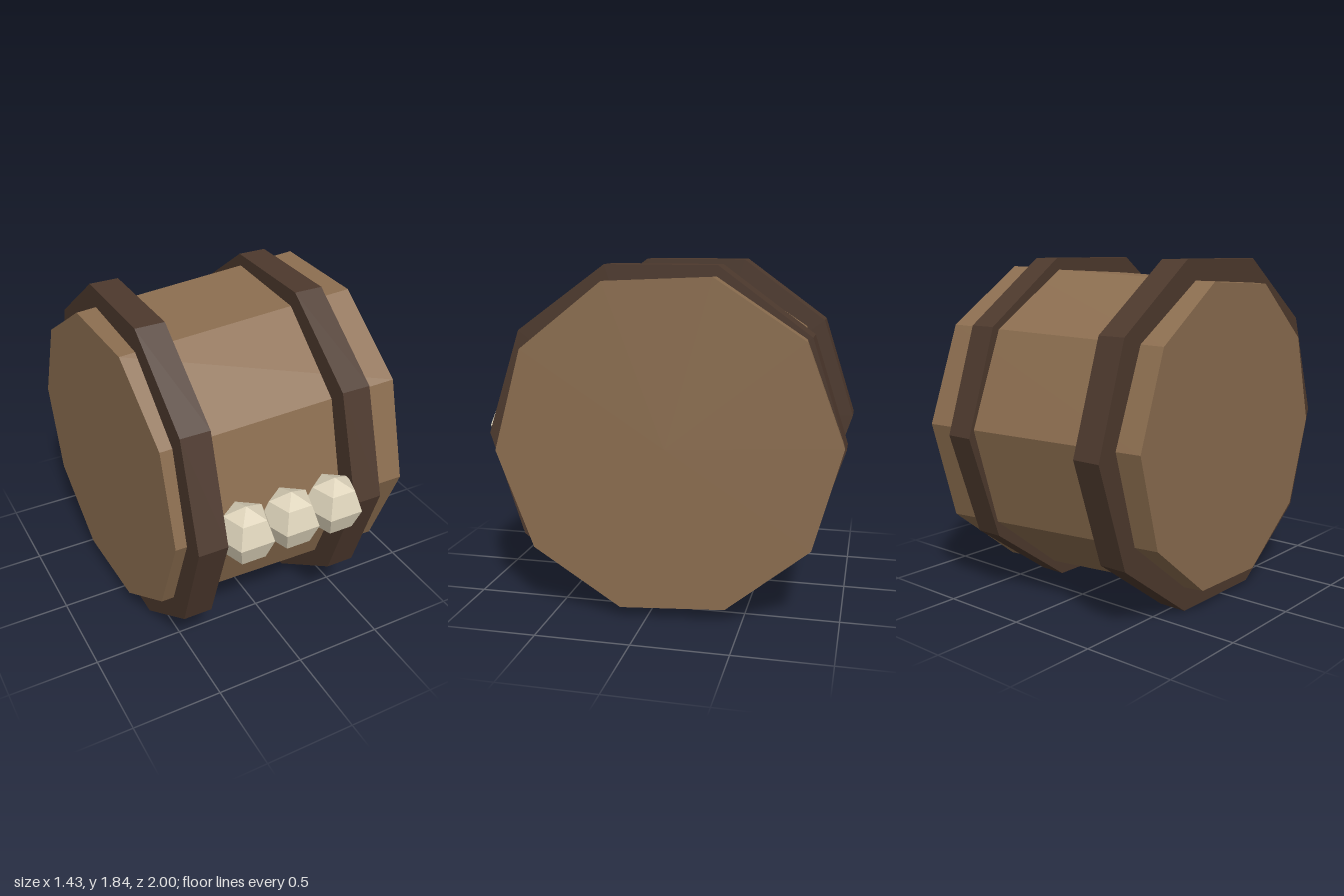
import * as THREE from 'three';

const mat = (color) => new THREE.MeshStandardMaterial({ color, flatShading: true });
const SIDES = 10;
const AXIS_Y = 0.918;

export function createModel() {
  const model = new THREE.Group();
  const wood = mat(0x8b6d4f), band = mat(0x4d392d), bone = mat(0xddd3ba);

  const add = (name, geometry, material, x, y, z) => {
    const mesh = new THREE.Mesh(geometry, material);
    mesh.name = name;
    mesh.position.set(x, y, z);
    model.add(mesh);
  };

  // ten-sided drum lying along x, wider at the +x end
  const drum = (rRight, rLeft, length) =>
    new THREE.CylinderGeometry(rRight, rLeft, length, SIDES).rotateZ(-Math.PI / 2);

  // barrel body, rolled and turned slightly out of line with its hoops
  const body = drum(0.9, 0.835, 1.352).rotateX(0.045).rotateY(0.047);
  add('barrelBody', body, wood, -0.005, AXIS_Y + 0.002, -0.067);

  // two hoops
  [['rightHoop', -0.5], ['leftHoop', 0.4]].forEach(([name, x]) =>
    add(name, drum(0.965, 0.965, 0.16), band, x, AXIS_Y, -0.035));

  // row of three faceted studs, a flat side facing front
  const stud = new THREE.SphereGeometry(0.16, 5, 4).rotateY(-Math.PI / 2);
  for (let i = 0; i < 3; i++) {
    add(`stud${i + 1}`, stud, bone, -0.292 + i * 0.257, 0.921, 0.87);
  }

  return model;
}
